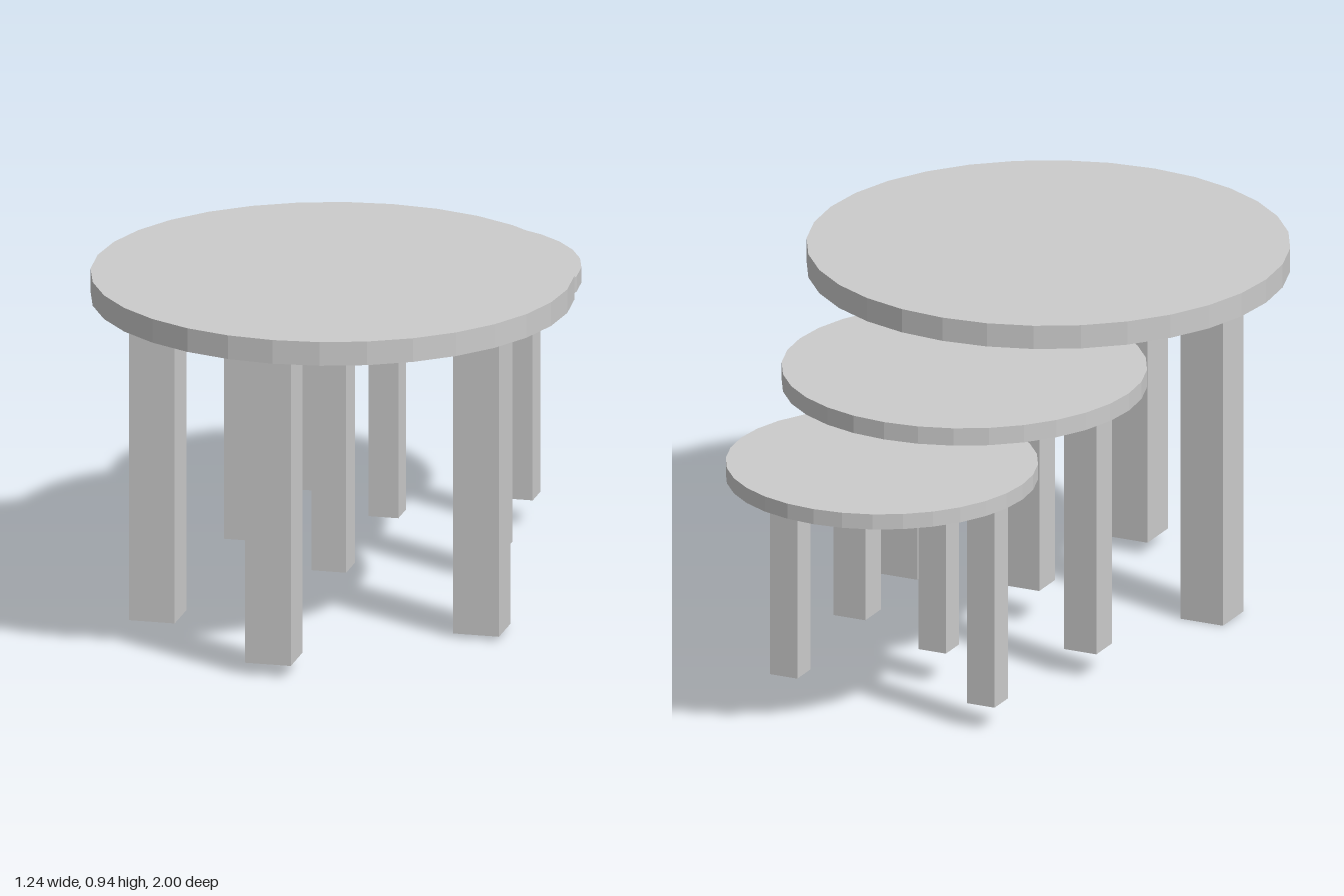
import * as THREE from 'three';

const material = new THREE.MeshStandardMaterial({ color: 0xcccccc, flatShading: true });

function addMesh(group, name, geometry, x, y, z) {
  const mesh = new THREE.Mesh(geometry, material);
  mesh.name = name;
  mesh.position.set(x, y, z);
  group.add(mesh);
  return mesh;
}

// Upright disc between two heights
function addDisc(group, name, rx, rz, bottom, top, x, z) {
  const geometry = new THREE.CylinderGeometry(1, 1, top - bottom, 32);
  geometry.scale(rx, 1, rz);
  return addMesh(group, name, geometry, x, (top + bottom) / 2, z);
}

// Leg positions relative to the table centre, for a top of radius 1
const legSpots = [
  ['frontLeg', -0.081, 0.665],
  ['leftLeg', 0.62, -0.065],
  ['rightLeg', -0.737, 0.03],
];

function createTable({ name, x, z, radius, top, disc, feet }) {
  const table = new THREE.Group();
  table.name = name;

  // Round top
  addDisc(table, 'tableTop', radius, radius, top[0], top[1], x, z);

  // Slightly oval disc hung just below the top
  addDisc(table, 'underDisc', disc.rx, disc.rz, disc.y[0], disc.y[1], disc.x, disc.z);

  // Three square legs of slightly different length
  const width = radius * 0.195;
  legSpots.forEach(([legName, lx, lz], i) => {
    const height = top[0] - feet[i];
    addMesh(table, legName, new THREE.BoxGeometry(width, height, width),
      x + lx * radius, feet[i] + height / 2, z + lz * radius);
  });
  return table;
}

export function createModel() {
  const model = new THREE.Group();
  model.name = 'nestingTables';
  model.add(
    createTable({
      name: 'largeTable', x: -0.002, z: 0.381, radius: 0.618, top: [0.88, 0.943],
      disc: { rx: 0.26, rz: 0.275, y: [0.81, 0.873], x: -0.008, z: 0.417 },
      feet: [0.032, 0.01, 0.0],
    }),
    createTable({
      name: 'mediumTable', x: -0.014, z: -0.133, radius: 0.467, top: [0.733, 0.78],
      disc: { rx: 0.197, rz: 0.207, y: [0.682, 0.729], x: -0.02, z: -0.101 },
      feet: [0.095, 0.075, 0.069],
    }),
    createTable({
      name: 'smallTable', x: -0.008, z: -0.601, radius: 0.399, top: [0.633, 0.674],
      disc: { rx: 0.168, rz: 0.177, y: [0.589, 0.628], x: -0.015, z: -0.577 },
      feet: [0.088, 0.071, 0.066],
    }),
  );
  return model;
}
